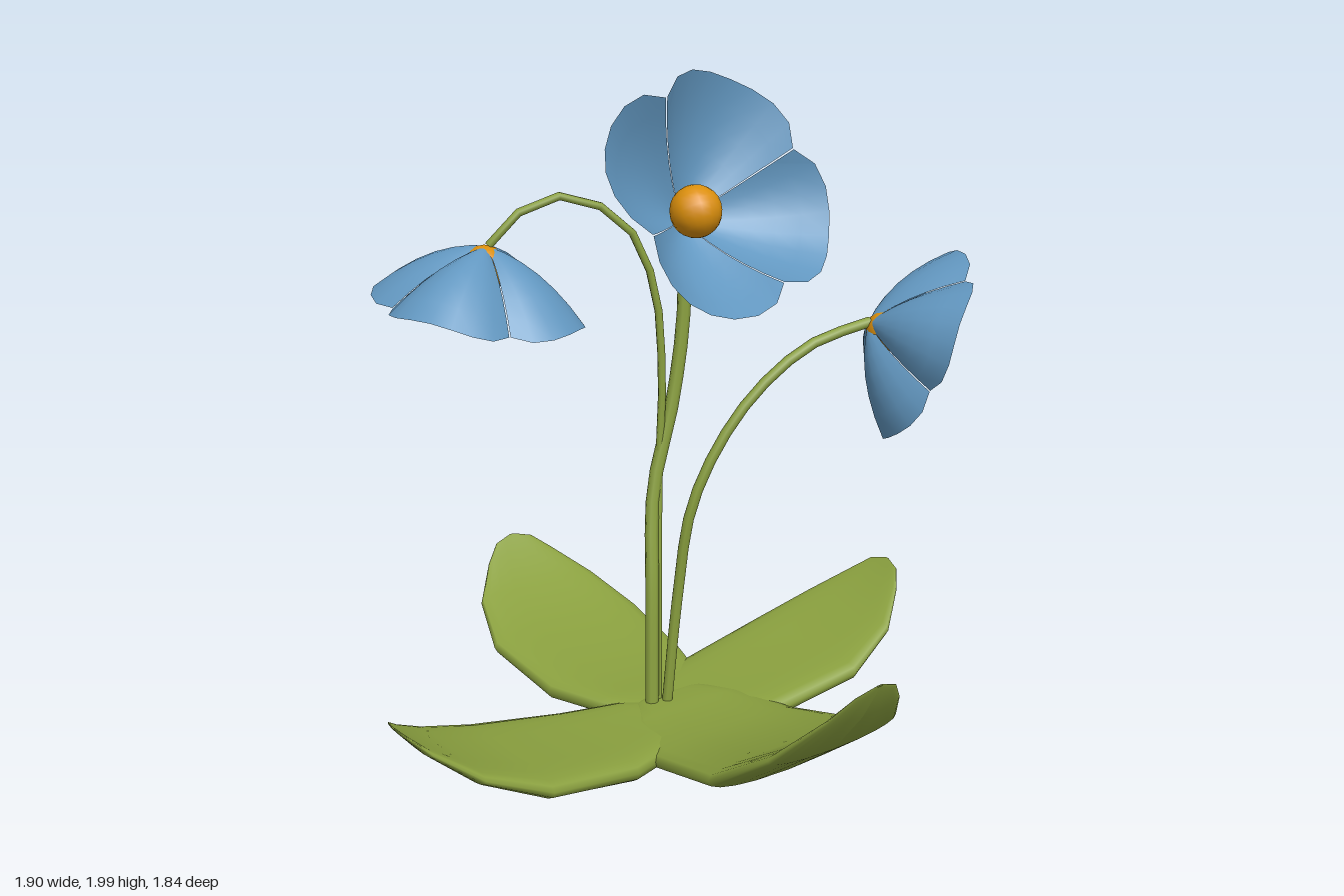
import * as THREE from 'three';
import { mergeGeometries } from 'three/addons/utils/BufferGeometryUtils.js';

const V = (x, y, z) => new THREE.Vector3(x, y, z);
const mat = (name, color) =>
  Object.assign(new THREE.MeshStandardMaterial({ color, side: THREE.DoubleSide }), { name });

// Smooth sheet sampled from f(u, v), with u and v in 0..1
function sheet(f, nu, nv, flip = false) {
  const pos = [], idx = [];
  for (let i = 0; i <= nu; i++)
    for (let j = 0; j <= nv; j++) pos.push(...f(i / nu, j / nv));
  for (let i = 0; i < nu; i++)
    for (let j = 0; j < nv; j++) {
      const a = i * (nv + 1) + j, b = a + nv + 1;
      idx.push(a, b, a + 1, b, b + 1, a + 1);
    }
  if (flip) idx.reverse();
  const g = new THREE.BufferGeometry();
  g.setAttribute('position', new THREE.Float32BufferAttribute(pos, 3));
  g.setIndex(idx);
  g.computeVertexNormals();
  return g;
}

// Leaf stations: distance out, underside height, thickness, half width
const LEAF = [
  [-0.07, 0.05, 0.03, 0.01], [-0.05, 0.035, 0.065, 0.08], [0.0, 0.025, 0.09, 0.14],
  [0.1, 0.015, 0.105, 0.205], [0.28, 0.0, 0.118, 0.27], [0.57, 0.083, 0.105, 0.295],
  [0.75, 0.225, 0.07, 0.235], [0.86, 0.37, 0.038, 0.135], [0.905, 0.452, 0.018, 0.075],
  [0.92, 0.485, 0.006, 0.01],
];
const power = (a, p) => Math.sign(a) * Math.abs(a) ** p;

// Fleshy leaf blade growing along local +z, with a rounded slab section
function leafGeometry(length, tip, halfWidth) {
  return sheet((u, v) => {
    const [r, y, thick, w] = LEAF[Math.round(u * (LEAF.length - 1))];
    const a = v * Math.PI * 2 - Math.PI / 2;
    const t = power(Math.cos(a), 0.75);
    const lift = 0.45 + 0.4 * power(Math.sin(a), 0.75) + 0.15 * t * t;
    return [t * w * halfWidth / 0.295, y * tip / 0.49 + thick * lift, r * length / 0.92];
  }, LEAF.length - 1, 20, true);
}

// Spoon-shaped quarter petal of unit radius, opening along local +z, fuller on its inner face
function petalGeometry() {
  const face = (plump, flip) => sheet((u, v) => {
    const t = 2 * v - 1;
    const s = u * (1.01 - 0.19 * Math.abs(t) ** 3.2);
    const a = t * Math.PI / 4 * 0.99;
    const z = 0.15 * s + 0.4 * s ** 2.2 + 0.3 * t * t * s;
    return [s * Math.cos(a), s * Math.sin(a), z + plump * 4 * u * (1 - u) * (1 - t * t)];
  }, 6, 8, flip);
  return mergeGeometries([face(0, true), face(0.05, false)]);
}

export function createModel() {
  const model = new THREE.Group();
  model.name = 'floweringPlant';
  const green = mat('leafGreen', 0x8aa03f);
  const blue = mat('petalBlue', 0x6297c0);
  const orange = mat('centreOrange', 0xdb8f0c);

  const add = (parent, name, geometry, material) => {
    const m = new THREE.Mesh(geometry, material);
    m.name = name;
    parent.add(m);
    return m;
  };

  // Leaves: name, x, z, turn, length, tip height, half width
  const leaves = [
    ['frontLeaf', 0.055, 0, 0, 0.92, 0.49, 0.295],
    ['backLeaf', 0.045, 0, Math.PI, 0.92, 0.35, 0.285],
    ['leftLeaf', 0, 0.02, Math.PI / 2, 0.95, 0.35, 0.25],
    ['rightLeaf', 0, 0.1, -Math.PI / 2, 0.95, 0.33, 0.235],
  ];
  for (const [name, x, z, turn, length, tip, w] of leaves) {
    const leaf = add(model, name, leafGeometry(length, tip, w), green);
    leaf.position.set(x, 0, z);
    leaf.rotation.y = turn;
  }

  // Stems
  const stem = (name, radius, pts) => add(model, name,
    new THREE.TubeGeometry(new THREE.CatmullRomCurve3(pts.map((p) => V(...p))), 16, radius, 8), green);
  stem('mainStem', 0.021, [[-0.03, 0.04, 0.02], [0.0, 0.45, -0.02], [0.045, 0.75, -0.075],
    [0.12, 1.02, -0.08], [0.16, 1.28, -0.08], [0.165, 1.58, -0.085]]);
  stem('noddingStem', 0.012, [[0.0, 0.04, 0.01], [0.03, 0.5, -0.03], [0.065, 0.8, -0.075],
    [0.08, 1.12, -0.08], [0.05, 1.4, -0.085], [-0.04, 1.58, -0.11], [-0.2, 1.66, -0.165],
    [-0.31, 1.63, -0.2], [-0.38, 1.58, -0.225], [-0.41, 1.53, -0.24]]);
  stem('sideStem', 0.016, [[0.015, 0.04, 0.03], [0.045, 0.45, 0.05], [0.07, 0.74, 0.085],
    [0.16, 0.95, 0.12], [0.28, 1.1, 0.155], [0.43, 1.21, 0.2], [0.61, 1.26, 0.25]]);

  // Flowers: four petals around a round centre, facing along an axis
  const petal = petalGeometry();
  const ball = new THREE.SphereGeometry(0.207, 16, 12);
  function flower(name, base, axis, up, radius, spin) {
    const g = new THREE.Group();
    g.name = name;
    const z = axis.normalize();
    const x = up.cross(z).normalize();
    g.quaternion.setFromRotationMatrix(new THREE.Matrix4().makeBasis(x, z.clone().cross(x), z));
    g.position.copy(base);
    g.scale.setScalar(radius);
    for (let i = 0; i < 4; i++)
      add(g, 'petal', petal, blue).rotation.z = spin + Math.PI / 4 + i * Math.PI / 2;
    add(g, 'flowerCentre', ball, orange).position.z = 0.204;
    model.add(g);
  }
  flower('mainFlower', V(0.16, 1.562, -0.09), V(0, 0.49, 0.87), V(0, 1, 0), 0.377, 0.34);
  flower('noddingFlower', V(-0.415, 1.53, -0.24), V(-0.13, -1, -0.1), V(0, 0, -1), 0.31, 0.17);
  flower('sideFlower', V(0.602, 1.258, 0.25), V(0.76, -0.39, 0.49), V(0, 1, 0), 0.303, 0.33);

  return model;
}
